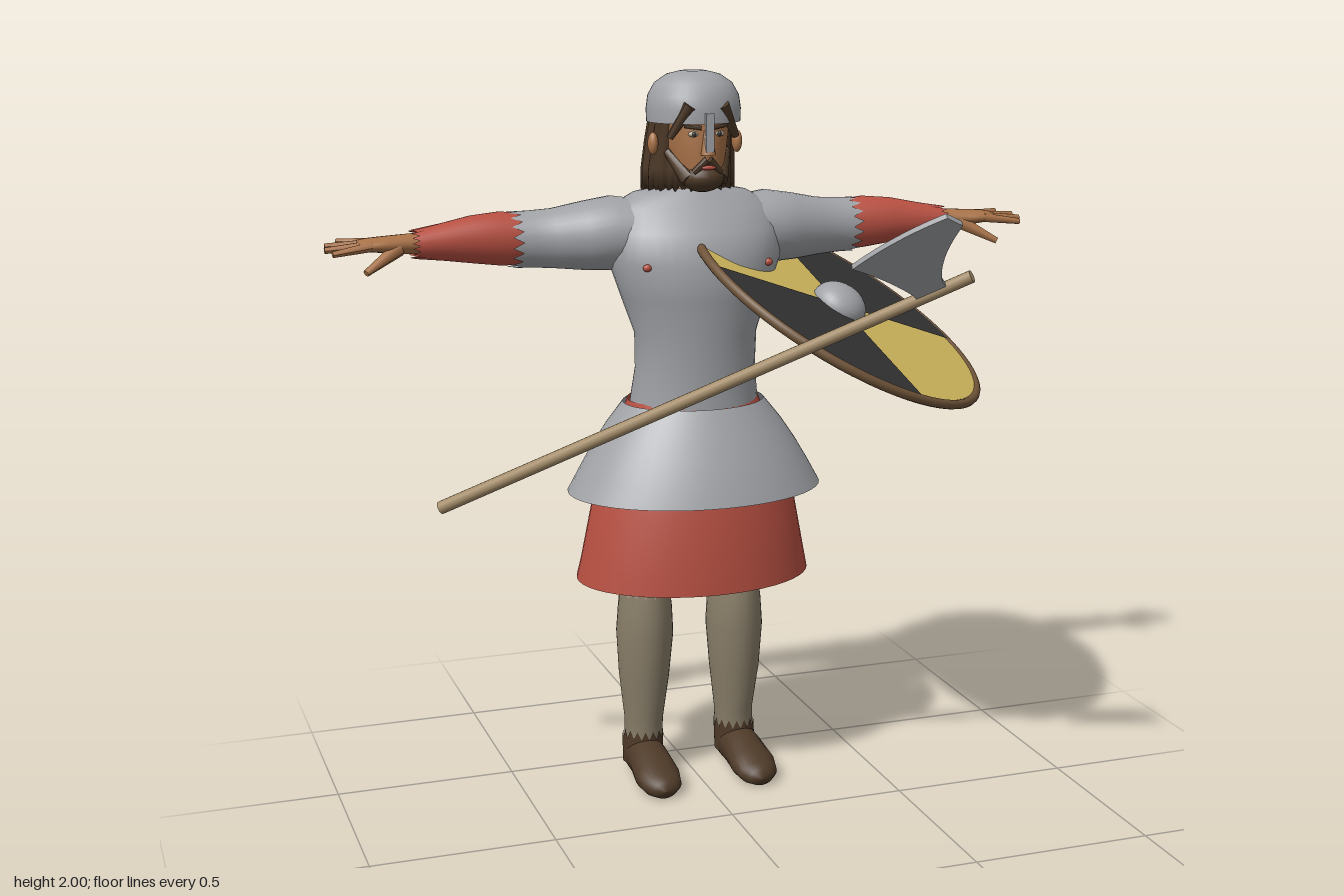
import * as THREE from 'three';

const paint = (name, color, double) => {
  const m = new THREE.MeshStandardMaterial({ color });
  m.name = name;
  if (double) m.side = THREE.DoubleSide;
  return m;
};

// Tube of elliptical rings [position, c1, c2, r1, r2] along an axis.
// Axis y: c1 = x, c2 = z. Axis x: c1 = z, c2 = y. Axis z: c1 = y, c2 = x.
function loft(rings, { axis = 'y', n = 32, hem = 0, hemRing = rings.length - 1, ripple = 0 } = {}) {
  const pos = [], idx = [];
  rings.forEach(([p, c1, c2, r1, r2], i) => {
    for (let j = 0; j < n; j++) {
      const a = (j / n) * Math.PI * 2, k = 1 + ripple * Math.cos(a * n / 4);
      const u = c1 + r1 * k * Math.cos(a), v = c2 + r2 * k * Math.sin(a);
      const q = p + (i === hemRing ? hem * (j % 2 - 0.5) : 0);
      pos.push(...(axis === 'y' ? [u, q, v] : axis === 'x' ? [q, v, u] : [v, u, q]));
      if (i < rings.length - 1) {
        const b = i * n + j, c = i * n + (j + 1) % n;
        idx.push(b, b + n, c, c, b + n, c + n);
      }
    }
  });
  const g = new THREE.BufferGeometry();
  g.setAttribute('position', new THREE.Float32BufferAttribute(pos, 3));
  g.setIndex(idx);
  g.computeVertexNormals();
  return g;
}

// Tapered rod between two points
function rod(a, b, r1, r2, n = 10) {
  const A = new THREE.Vector3(...a), B = new THREE.Vector3(...b), d = B.clone().sub(A);
  const g = new THREE.CylinderGeometry(r2, r1, d.length(), n);
  g.applyQuaternion(new THREE.Quaternion().setFromUnitVectors(new THREE.Vector3(0, 1, 0), d.normalize()));
  return g.translate(...A.add(B).multiplyScalar(0.5).toArray());
}

const blob = (x, y, z, rx, ry, rz) =>
  new THREE.SphereGeometry(1, 20, 14).scale(rx, ry, rz).translate(x, y, z);

function mirrored(geo) {
  const g = geo.clone().scale(-1, 1, 1), ix = g.index.array;
  for (let i = 0; i < ix.length; i += 3) [ix[i], ix[i + 1]] = [ix[i + 1], ix[i]];
  g.computeVertexNormals();
  return g;
}

export function createModel() {
  const root = new THREE.Group();
  root.name = 'shieldWarrior';
  const grey = paint('greyMail', 0xa0a2a6, true), red = paint('redCloth', 0xb85042, true);
  const yellow = paint('yellowPaint', 0xd3b95e), black = paint('blackPaint', 0x333333);
  const skin = paint('skin', 0xa87248), brown = paint('darkBrown', 0x4e3a28);
  const wrap = paint('legWrap', 0x8a7f6a, true), linen = paint('paleLinen', 0xb9af9a);
  const wood = paint('paleWood', 0xa58d6a), leather = paint('rimLeather', 0x6e5338);

  const add = (name, geo, mat, parent = root) => {
    const m = new THREE.Mesh(geo, mat);
    m.name = name;
    parent.add(m);
    return m;
  };
  const pair = (name, geo, mat) => {
    add(name + 'Left', geo, mat);
    add(name + 'Right', mirrored(geo), mat);
  };

  // Torso and skirts
  add('mailTorso', loft([
    [1.06, 0, -0.325, 0.185, 0.15], [1.12, 0, -0.32, 0.178, 0.142], [1.2, 0, -0.31, 0.168, 0.133],
    [1.3, 0, -0.305, 0.17, 0.138], [1.4, 0, -0.31, 0.205, 0.155], [1.5, 0, -0.31, 0.24, 0.168],
    [1.58, 0, -0.33, 0.245, 0.152], [1.64, 0, -0.35, 0.225, 0.12], [1.675, 0, -0.35, 0.16, 0.095],
    [1.69, 0, -0.345, 0.085, 0.075]], { n: 40 }), grey);
  add('mailSkirt', loft([
    [0.86, 0, -0.32, 0.358, 0.272], [0.92, 0, -0.32, 0.325, 0.25], [0.98, 0, -0.322, 0.29, 0.224],
    [1.04, 0, -0.324, 0.25, 0.195], [1.105, 0, -0.327, 0.198, 0.16]], { n: 48 }), grey);
  add('tunicSkirt', loft([
    [0.605, 0, -0.34, 0.332, 0.25], [0.66, 0, -0.335, 0.32, 0.242], [0.86, 0, -0.328, 0.28, 0.222],
    [1.0, 0, -0.328, 0.22, 0.18], [1.112, 0, -0.332, 0.184, 0.152]], { n: 48 }), red);
  pair('tunicSpot', blob(0.17, 1.495, -0.191, 0.012, 0.01, 0.009), red);

  // Arms
  pair('mailSleeve', loft([
    [0.12, -0.35, 1.57, 0.1, 0.085], [0.22, -0.355, 1.57, 0.11, 0.1], [0.3, -0.362, 1.565, 0.095, 0.092],
    [0.38, -0.375, 1.56, 0.077, 0.08], [0.44, -0.38, 1.56, 0.071, 0.076],
    [0.485, -0.38, 1.56, 0.069, 0.075]], { axis: 'x', hem: 0.03 }), grey);
  pair('tunicSleeve', loft([
    [0.42, -0.38, 1.56, 0.06, 0.066], [0.52, -0.379, 1.565, 0.064, 0.072], [0.6, -0.375, 1.567, 0.057, 0.063],
    [0.68, -0.368, 1.565, 0.048, 0.049], [0.755, -0.363, 1.563, 0.043, 0.037]], { axis: 'x', hem: 0.02 }), red);
  pair('hand', loft([
    [0.7, -0.363, 1.565, 0.036, 0.03], [0.78, -0.358, 1.566, 0.034, 0.026], [0.83, -0.355, 1.567, 0.046, 0.022],
    [0.87, -0.356, 1.568, 0.05, 0.018], [0.9, -0.358, 1.568, 0.044, 0.014],
    [0.905, -0.358, 1.568, 0, 0]], { axis: 'x', n: 20 }), skin);
  [[-0.398, -0.415, 0.95], [-0.372, -0.378, 0.985], [-0.345, -0.343, 0.99], [-0.32, -0.306, 0.975]]
    .forEach(([z0, z1, x1], i) => pair('finger' + (i + 1),
      rod([0.87, 1.568, z0], [x1, 1.572 - 0.006 * i, z1], 0.013, 0.008), skin));
  pair('thumb', rod([0.8, 1.557, -0.335], [0.895, 1.505, -0.285], 0.02, 0.009), skin);

  // Legs and shoes
  pair('trouserLeg', loft([
    [0.5, 0.134, -0.368, 0.062, 0.092], [0.6, 0.134, -0.36, 0.07, 0.096],
    [0.95, 0.11, -0.34, 0.09, 0.1]]), linen);
  pair('legWrap', loft([
    [0.1, 0.138, -0.383, 0.054, 0.058], [0.17, 0.136, -0.382, 0.055, 0.062], [0.3, 0.136, -0.375, 0.07, 0.086],
    [0.43, 0.134, -0.37, 0.079, 0.1], [0.51, 0.133, -0.368, 0.073, 0.104],
    [0.565, 0.133, -0.367, 0.066, 0.101]], { hem: 0.025 }), wrap);
  pair('shoeCuff', loft([
    [0.04, 0.14, -0.38, 0.058, 0.06], [0.1, 0.139, -0.383, 0.058, 0.062],
    [0.128, 0.138, -0.383, 0.058, 0.063]], { hem: 0.025 }), brown);
  pair('shoe', loft([
    [-0.448, 0.05, 0.14, 0, 0], [-0.44, 0.055, 0.14, 0.05, 0.036], [-0.39, 0.062, 0.14, 0.062, 0.057],
    [-0.31, 0.057, 0.141, 0.057, 0.058], [-0.23, 0.043, 0.143, 0.043, 0.065], [-0.18, 0.033, 0.143, 0.033, 0.055],
    [-0.158, 0.028, 0.143, 0.024, 0.035], [-0.15, 0.025, 0.143, 0, 0]], { axis: 'z', n: 24 }), brown);

  // Head
  add('neck', loft([[1.62, 0, -0.345, 0.1, 0.085], [1.69, 0, -0.335, 0.07, 0.065],
    [1.78, 0, -0.325, 0.06, 0.06]]), skin);
  add('face', loft([
    [1.69, 0, -0.25, 0, 0], [1.692, 0, -0.25, 0.03, 0.038], [1.71, 0, -0.26, 0.05, 0.06],
    [1.75, 0, -0.285, 0.07, 0.088], [1.8, 0, -0.3, 0.082, 0.105], [1.85, 0, -0.31, 0.09, 0.113],
    [1.92, 0, -0.315, 0.095, 0.11]]), skin);
  add('hair', loft([
    [1.7, 0, -0.37, 0, 0], [1.69, 0, -0.365, 0.125, 0.098], [1.74, 0, -0.365, 0.124, 0.1],
    [1.81, 0, -0.352, 0.118, 0.102], [1.89, 0, -0.33, 0.11, 0.105]],
  { n: 72, hem: 0.02, hemRing: 1, ripple: 0.045 }), brown);
  pair('templeLock', rod([0.045, 1.915, -0.205], [0.092, 1.83, -0.235], 0.018, 0.01), brown);
  pair('ear', blob(0.118, 1.81, -0.3, 0.014, 0.03, 0.018), skin);
  add('beard', blob(0, 1.724, -0.24, 0.06, 0.04, 0.058), brown);
  pair('jawBeard', rod([0.04, 1.72, -0.225], [0.082, 1.79, -0.285], 0.026, 0.012), brown);
  pair('moustache', rod([0.003, 1.773, -0.19], [0.038, 1.74, -0.2], 0.011, 0.008), brown);
  add('mouth', blob(0, 1.753, -0.187, 0.02, 0.006, 0.006), red);
  add('nose', rod([0, 1.785, -0.19], [0, 1.85, -0.197], 0.02, 0.009), skin);
  pair('eye', blob(0.035, 1.84, -0.207, 0.015, 0.008, 0.008), linen);
  pair('pupil', blob(0.035, 1.84, -0.2, 0.006, 0.007, 0.004), black);
  pair('eyebrow', rod([0.016, 1.856, -0.198], [0.058, 1.86, -0.217], 0.006, 0.004), brown);

  // Helmet
  add('helmet', new THREE.LatheGeometry([
    [0.126, 1.866], [0.127, 1.9], [0.122, 1.935], [0.104, 1.967], [0.072, 1.989], [0.035, 1.998], [0, 2]]
    .map(p => new THREE.Vector2(...p)), 40).translate(0, 0, -0.315), grey);
  add('noseGuard', new THREE.BoxGeometry(0.022, 0.1, 0.012).translate(0, 1.845, -0.177), grey);

  // Round shield, tilted so its face points up and outward
  const shield = new THREE.Group();
  shield.name = 'shield';
  const n = new THREE.Vector3(0.418, 0.854, 0.305).normalize();
  const u = new THREE.Vector3(0.41, -0.15, -0.14).addScaledVector(n, 0);
  u.addScaledVector(n, -u.dot(n)).normalize();
  shield.quaternion.setFromRotationMatrix(
    new THREE.Matrix4().makeBasis(u, n, new THREE.Vector3().crossVectors(u, n)));
  shield.position.set(0.375, 1.357, -0.2);
  root.add(shield);
  add('board', new THREE.CylinderGeometry(0.446, 0.446, 0.016, 64), yellow, shield);
  for (const start of [0.5, 1.5])
    add('blackQuarter', new THREE.CylinderGeometry(0.446, 0.446, 0.004, 24, 1, false,
      start * Math.PI, Math.PI / 2).translate(0, 0.009, 0), black, shield);
  add('rim', new THREE.TorusGeometry(0.445, 0.013, 10, 64).rotateX(Math.PI / 2), leather, shield);
  add('boss', new THREE.SphereGeometry(0.078, 28, 10, 0, Math.PI * 2, 0, Math.PI / 2)
    .scale(1, 0.75, 1).translate(0, 0.009, 0), grey, shield);

  // Long axe
  add('axeHaft', rod([-0.7, 0.835, -0.4], [0.455, 1.54, 0.468], 0.018, 0.016, 16), wood);
  const along = new THREE.Vector3(0.719, 0.439, 0.54).normalize();
  const out = new THREE.Vector3(-0.688, 0.56, 0.46);
  out.addScaledVector(along, -out.dot(along)).normalize();
  const blade = new THREE.Shape();
  blade.moveTo(-0.03, -0.015);
  blade.lineTo(-0.028, 0.03);
  blade.quadraticCurveTo(-0.045, 0.13, -0.095, 0.234);
  blade.quadraticCurveTo(0.04, 0.275, 0.173, 0.265);
  blade.lineTo(0.19, 0.213);
  blade.quadraticCurveTo(0.085, 0.13, 0.055, 0.04);
  blade.lineTo(0.05, -0.015);
  const head = add('axeHead', new THREE.ExtrudeGeometry(blade, { depth: 0.014, bevelEnabled: false })
    .translate(0, 0, -0.007), grey);
  head.quaternion.setFromRotationMatrix(
    new THREE.Matrix4().makeBasis(along, out, new THREE.Vector3().crossVectors(along, out)));
  head.position.set(0.37, 1.488, 0.404);
  return root;
}
